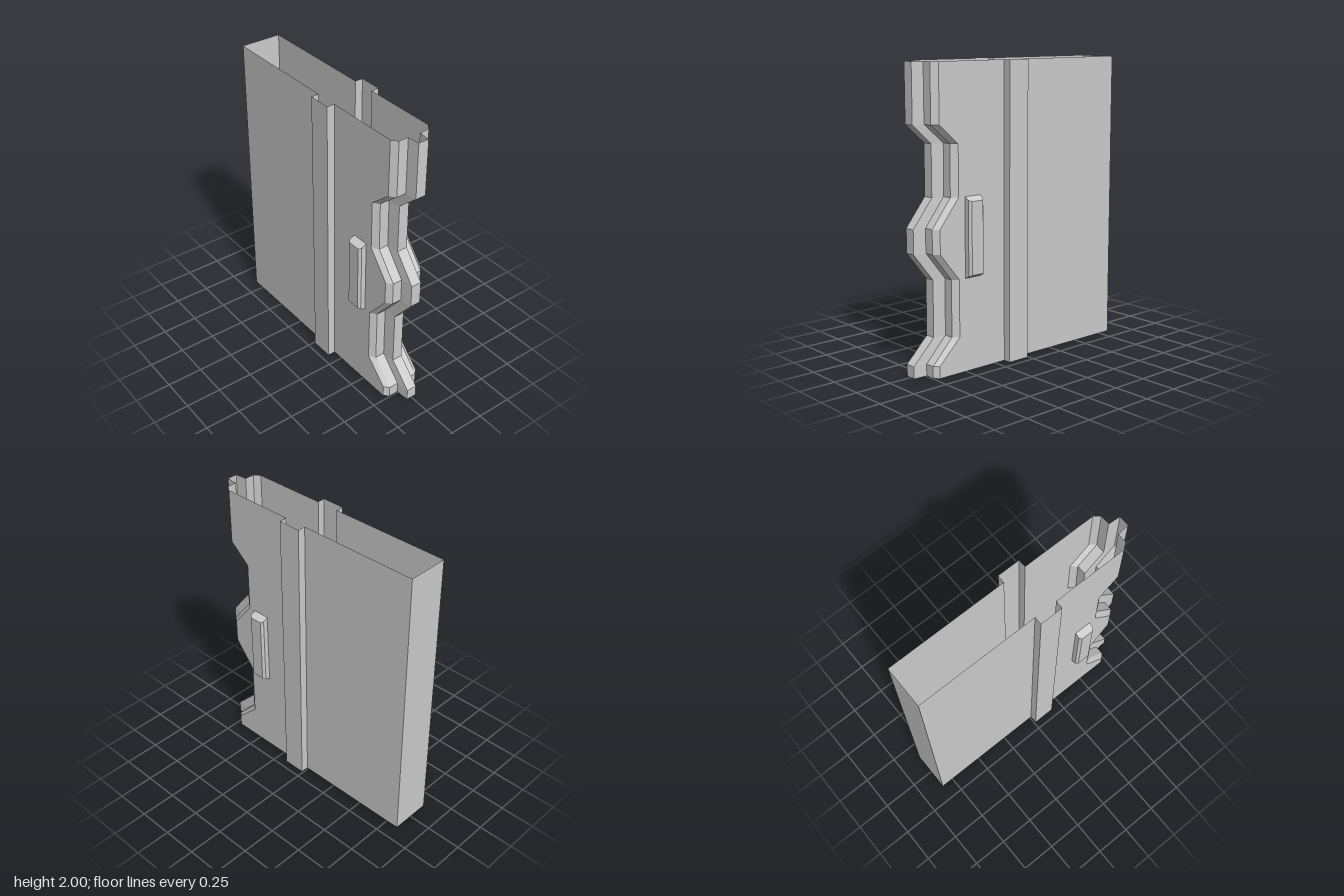
import * as THREE from 'three';

const WALL = 0.143, OUT = 0.198, BACK = -0.84;

// Wavy front edge: height, spine z, rib z, side wall z
const LEVELS = [
  [0, 0.84, 0.745, 0.715],
  [0.08, 0.84, 0.745, 0.715],
  [0.24, 0.68, 0.59, 0.55],
  [0.62, 0.68, 0.59, 0.55],
  [0.805, 0.828, 0.738, 0.7],
  [0.965, 0.828, 0.738, 0.7],
  [1.15, 0.68, 0.592, 0.55],
  [1.49, 0.68, 0.59, 0.55],
  [1.615, 0.822, 0.738, 0.697],
  [2, 0.822, 0.738, 0.697],
];
const ENDS = [LEVELS[0], LEVELS[LEVELS.length - 1]];

const material = new THREE.MeshStandardMaterial({
  color: 0xcccccc, flatShading: true, side: THREE.DoubleSide,
});

// Skin between rows of [x, y, z] points; rows go upward
function skin(name, rows) {
  const pos = [];
  for (let j = 0; j < rows.length - 1; j++) {
    for (let i = 0; i < rows[j].length - 1; i++) {
      const a = rows[j][i], b = rows[j][i + 1], c = rows[j + 1][i + 1], d = rows[j + 1][i];
      pos.push(...a, ...b, ...c, ...a, ...c, ...d);
    }
  }
  const geometry = new THREE.BufferGeometry();
  geometry.setAttribute('position', new THREE.Float32BufferAttribute(pos, 3));
  geometry.computeVertexNormals();
  const mesh = new THREE.Mesh(geometry, material);
  mesh.name = name;
  return mesh;
}

// Rows from an [x, z] section evaluated at each level
const sweep = (levels, section) =>
  levels.map((l) => section(l).map(([x, z]) => [x, l[0], z]));

// Mirror across x, reversing the rows so faces still point outward
const mirror = (rows) => rows.map((r) => r.map(([x, y, z]) => [-x, y, z]).reverse());

export function createModel() {
  const group = new THREE.Group();

  // Central spine, standing forward of the ribs
  group.add(skin('frontSpine', sweep(LEVELS, ([, s, r]) =>
    [[-0.044, r], [-0.037, s], [0.037, s], [0.044, r]])));

  // Flat back wall
  group.add(skin('backWall', sweep(ENDS, () => [[WALL, BACK], [-WALL, BACK]])));

  // Grip section, tapering in height toward its outer face
  const grip = [[WALL, 0.5], [0.178, 0.5], [0.195, 0.485],
    [0.195, 0.393], [0.178, 0.378], [WALL, 0.378]];
  const slope = (x) => (x - WALL) * 0.5;
  const gripRows = [
    grip.map(([, z]) => [WALL, 0.62, z]),
    grip.map(([x, z]) => [x, 0.62 + slope(x), z]),
    grip.map(([x, z]) => [x, 1.15 - slope(x), z]),
    grip.map(([, z]) => [WALL, 1.15, z]),
  ];

  const sideParts = {
    // Chamfered rib beside the spine
    frontRib: sweep(LEVELS, ([, , r, w]) => [[0.044, r], [0.112, r], [WALL, w]]),
    // Wall from the wavy edge back to the rail
    frontSideWall: sweep(LEVELS, ([, , , w]) => [[WALL, w], [WALL, 0.17]]),
    // Hollow vertical rail stepping out of the wall
    sideRail: sweep(ENDS, () => [[WALL, 0.17], [OUT, 0.17], [OUT, 0.01], [WALL, 0.01]]),
    rearSideWall: sweep(ENDS, () => [[WALL, 0.01], [WALL, BACK]]),
    sideGrip: gripRows,
  };
  for (const [name, rows] of Object.entries(sideParts)) {
    group.add(skin(name + 'Left', rows), skin(name + 'Right', mirror(rows)));
  }
  return group;
}
